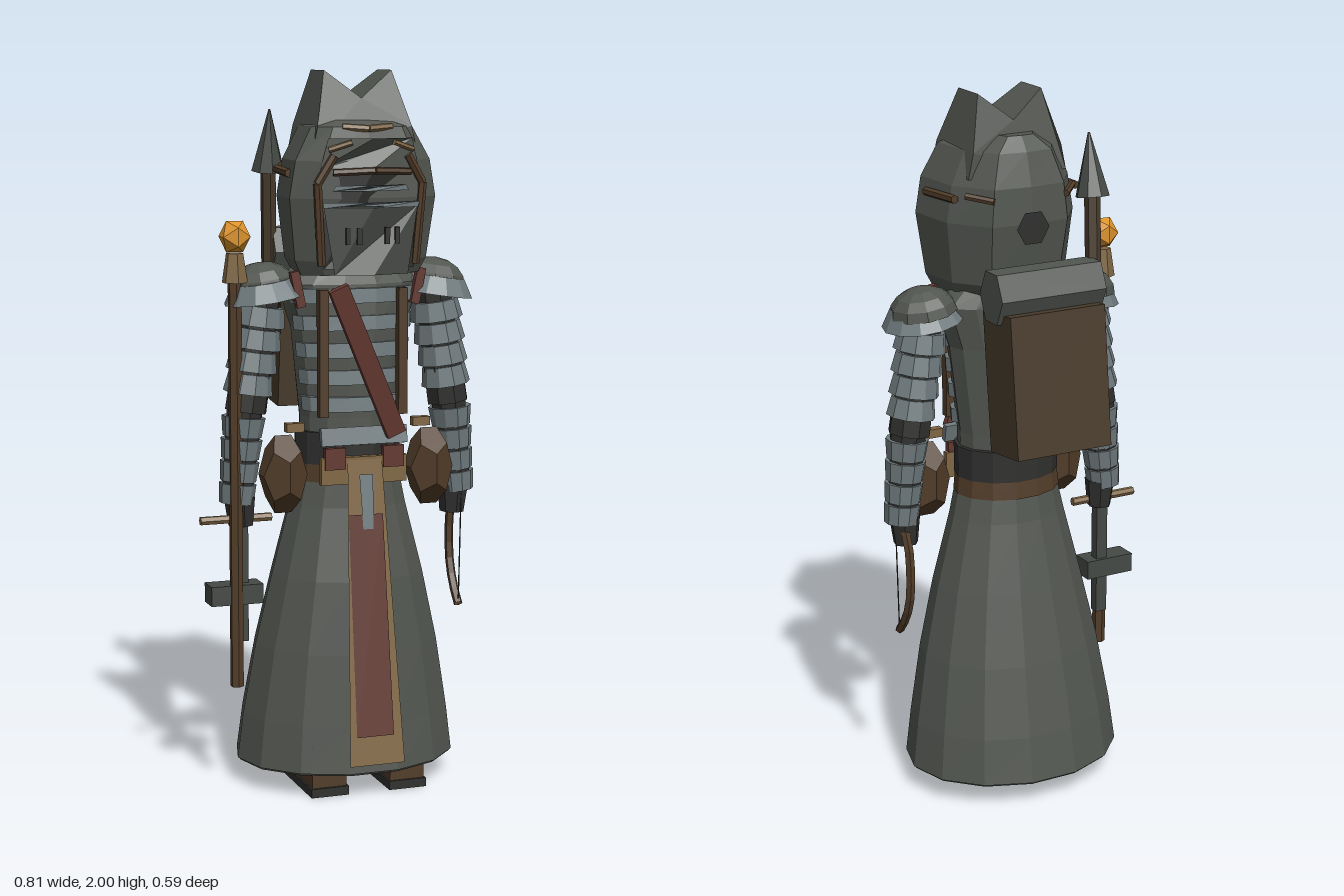
import * as THREE from 'three';

const mat = (name, color) => new THREE.MeshStandardMaterial({ name, color, flatShading: true, side: THREE.DoubleSide });
const CLOTH = mat('grey cloth', 0x525650), PLATE = mat('steel plate', 0x6f7a7d), DARK = mat('dark leather', 0x30302f),
  BROWN = mat('brown leather', 0x523d29), GOLD = mat('ochre trim', 0x806744), RED = mat('dull red', 0x633830),
  FLAME = mat('amber', 0xdd942c), PACK = mat('pack canvas', 0x493c2c), IRON = mat('iron', 0x454945);

function add(parent, name, geo, material, x = 0, y = 0, z = 0) {
  const m = new THREE.Mesh(geo, material);
  m.name = name;
  m.position.set(x, y, z);
  parent.add(m);
  return m;
}
const box = (p, name, m, x, y, z, w, h, d) => add(p, name, new THREE.BoxGeometry(w, h, d), m, x, y, z);

// Tapered rod from a to b
function rod(p, name, m, a, b, r0, r1 = r0, sides = 6) {
  const A = new THREE.Vector3(...a), B = new THREE.Vector3(...b), d = B.clone().sub(A);
  const o = add(p, name, new THREE.CylinderGeometry(r1, r0, d.length(), sides), m);
  o.position.copy(A).add(B).multiplyScalar(0.5);
  o.quaternion.setFromUnitVectors(new THREE.Vector3(0, 1, 0), d.normalize());
  return o;
}

// Closed skin through rings of [y, halfWidth, zFront, zBack], each shaped by a unit outline
function loft(outline, rings) {
  const n = outline.length, pos = [], idx = [];
  for (const [y, w, zf, zb] of rings) for (const [u, v] of outline) pos.push(u * w, y, zb + v * (zf - zb));
  for (let r = 0; r < rings.length - 1; r++) for (let i = 0; i < n; i++) {
    const a = r * n + i, b = r * n + (i + 1) % n;
    idx.push(a, b, b + n, a, b + n, a + n);
  }
  const top = (rings.length - 1) * n;
  for (let i = 1; i < n - 1; i++) idx.push(0, i + 1, i, top, top + i, top + i + 1);
  const g = new THREE.BufferGeometry();
  g.setAttribute('position', new THREE.Float32BufferAttribute(pos, 3));
  g.setIndex(idx);
  g.computeVertexNormals();
  return g;
}
const ROUND = Array.from({ length: 14 }, (_, i) => {
  const t = Math.PI / 2 - (i + 0.5) / 14 * Math.PI * 2;
  return [Math.cos(t), 0.5 + Math.sin(t) / 2];
});
const HOOD = [[0, 1], [0.68, 0.98], [1, 0.82], [0.93, 0.35], [0.55, 0.03], [0, 0], [-0.55, 0.03], [-0.93, 0.35], [-1, 0.82], [-0.68, 0.98]];

// Flat plate from xy points, with depth given by a rule z(x, y)
function plate(points, rule) {
  const g = new THREE.ShapeGeometry(new THREE.Shape(points.map(p => new THREE.Vector2(...p))));
  const p = g.attributes.position;
  for (let i = 0; i < p.count; i++) p.setZ(i, rule(p.getX(i), p.getY(i)));
  g.computeVertexNormals();
  return g;
}

function robe(g) {
  add(g, 'skirt', loft(ROUND, [[0.07, 0.318, 0.278, -0.25], [0.2, 0.302, 0.262, -0.227], [0.4, 0.268, 0.24, -0.185],
    [0.6, 0.222, 0.214, -0.14], [0.8, 0.17, 0.172, -0.095], [0.93, 0.14, 0.16, -0.075]]), CLOTH);
  add(g, 'skirtUnderside', loft(ROUND, [[0.064, 0.312, 0.272, -0.244], [0.069, 0.312, 0.272, -0.244]]), DARK);
  add(g, 'torso', loft(ROUND, [[0.9, 0.14, 0.155, -0.07], [1.05, 0.142, 0.155, -0.065], [1.3, 0.17, 0.165, -0.06],
    [1.42, 0.21, 0.155, -0.055], [1.47, 0.16, 0.14, -0.05]]), CLOTH);
  add(g, 'belt', loft(ROUND, [[0.92, 0.152, 0.168, -0.085], [1.01, 0.152, 0.168, -0.085]]), DARK);
  add(g, 'beltFringe', loft(ROUND, [[0.87, 0.156, 0.166, -0.088], [0.925, 0.149, 0.166, -0.083]]), BROWN);
  box(g, 'sash', GOLD, 0, 0.91, 0.175, 0.25, 0.075, 0.02);
  for (const s of [-1, 1]) box(g, 'sashPatch', RED, s * 0.085, 0.945, 0.18, 0.06, 0.06, 0.02);
  box(g, 'buckle', PLATE, 0, 1.005, 0.178, 0.25, 0.05, 0.018).rotation.x = -0.2;
  // Hanging tabard
  const hang = (x, y) => 0.188 + (0.94 - y) * 0.133;
  add(g, 'tabardBorder', plate([[-0.08, 0.1], [0.08, 0.1], [0.05, 0.94], [-0.05, 0.94]], hang), GOLD);
  add(g, 'tabardPanel', plate([[-0.058, 0.18], [0.05, 0.18], [0.045, 0.79], [-0.055, 0.79]], (x, y) => hang(x, y) + 0.004), RED);
  add(g, 'tabardTongue', plate([[-0.015, 0.75], [0.015, 0.75], [0.02, 0.9], [-0.02, 0.9]], (x, y) => hang(x, y) + 0.007), PLATE);
  // Chest bands and straps
  for (let i = 0; i < 5; i++) {
    const y = 1.07 + i * 0.075, w = 0.148 + i * 0.008;
    add(g, 'chestBand', loft(ROUND, [[y, w, 0.172, 0.0], [y + 0.04, w + 0.003, 0.168, 0.0]]), PLATE);
  }
  for (const s of [-1, 1]) {
    box(g, 'harnessStrap', BROWN, s * 0.115, 1.235, 0.168, 0.026, 0.35, 0.026);
    box(g, 'collarTab', RED, s * 0.175, 1.41, 0.13, 0.025, 0.1, 0.02).rotation.z = s * -0.2;
    const pouch = add(g, 'beltPouch', new THREE.DodecahedronGeometry(0.075), BROWN, s * 0.215, 0.9, 0.12);
    pouch.scale.set(0.9, 1.55, 0.95);
    box(g, 'pouchClasp', GOLD, s * 0.185, 1.03, 0.13, 0.05, 0.025, 0.025);
    // Boots
    box(g, 'boot', BROWN, s * 0.115, 0.085, 0.105, 0.1, 0.12, 0.24);
    box(g, 'bootSole', DARK, s * 0.115, 0.0125, 0.107, 0.11, 0.025, 0.25);
  }
  const sash = box(g, 'crossStrap', RED, -0.005, 1.215, 0.222, 0.055, 0.455, 0.022);
  sash.rotation.set(0.11, 0, 0.42);
}

function head(g) {
  add(g, 'hood', loft(HOOD, [[1.45, 0.17, 0.19, -0.05], [1.49, 0.19, 0.205, -0.08], [1.66, 0.21, 0.232, -0.11],
    [1.76, 0.193, 0.23, -0.105], [1.85, 0.145, 0.21, -0.08], [1.89, 0.07, 0.12, -0.05]]), CLOTH);
  // Two-pointed crown, narrowing in depth toward the points
  const shape = new THREE.Shape([[-0.15, 1.78], [0.15, 1.78], [0.135, 1.85], [0.097, 2.0], [0, 1.925], [-0.097, 2.0], [-0.135, 1.85]]
    .map(p => new THREE.Vector2(...p)));
  const crown = new THREE.ExtrudeGeometry(shape, { depth: 1, bevelEnabled: false });
  const p = crown.attributes.position;
  for (let i = 0; i < p.count; i++) {
    const t = Math.max(0, (p.getY(i) - 1.85) / 0.15), front = 0.185 - 0.06 * t, back = -0.03 + 0.045 * t;
    p.setZ(i, back + p.getZ(i) * (front - back));
  }
  crown.computeVertexNormals();
  add(g, 'crown', crown, CLOTH);
  // Face opening, visor and slits share a shallow central ridge
  const ridge = (k) => (x) => k - Math.abs(x) * 0.22;
  const strip = (name, m, w0, w1, y0, y1, z) =>
    add(g, name, plate([[-w0, y0], [0, y0], [w0, y0], [w1, y1], [0, y1], [-w1, y1]], ridge(z)), m);
  strip('faceShadow', DARK, 0.13, 0.135, 1.47, 1.73, 0.246);
  strip('visor', IRON, 0.105, 0.135, 1.455, 1.64, 0.262);
  strip('visorRim', PLATE, 0.135, 0.138, 1.635, 1.65, 0.266);
  strip('eyeBand', PLATE, 0.11, 0.1, 1.68, 1.695, 0.256);
  strip('browPlate', CLOTH, 0.14, 0.12, 1.74, 1.82, 0.254);
  for (const s of [-1, 1]) {
    for (const x of [0.04, 0.07]) box(g, 'visorSlit', DARK, s * x, 1.56, 0.262 - x * 0.22, 0.013, 0.045, 0.008);
    rod(g, 'faceTrim', BROWN, [s * 0.135, 1.48, 0.215], [s * 0.15, 1.7, 0.228], 0.012);
    rod(g, 'faceTrim', BROWN, [s * 0.15, 1.7, 0.228], [s * 0.105, 1.775, 0.235], 0.012);
    rod(g, 'browTrim', BROWN, [s * 0.11, 1.73, 0.24], [0, 1.735, 0.266], 0.01);
    rod(g, 'browTrim', GOLD, [s * 0.12, 1.79, 0.232], [s * 0.06, 1.81, 0.25], 0.008);
    rod(g, 'hoodTrim', GOLD, [s * 0.07, 1.85, 0.2], [0, 1.845, 0.215], 0.01);
    rod(g, 'sideTrim', BROWN, [s * 0.198, 1.725, 0.13], [s * 0.187, 1.73, -0.02], 0.012);
    rod(g, 'rearTrim', BROWN, [s * 0.165, 1.74, -0.04], [s * 0.11, 1.73, -0.1], 0.01);
  }
  add(g, 'hoodPatch', new THREE.CircleGeometry(0.05, 6), DARK, 0, 1.65, -0.116);
}

function arm(g, s) {
  const a = new THREE.Group();
  a.name = s > 0 ? 'leftArm' : 'rightArm';
  a.scale.x = s; // mirrored across the body
  g.add(a);
  const dome = add(a, 'pauldronDome', new THREE.SphereGeometry(0.095, 10, 4, 0, Math.PI * 2, 0, Math.PI / 2), CLOTH, 0.25, 1.41, 0.05);
  dome.scale.y = 0.75;
  dome.rotation.z = -0.15;
  add(a, 'pauldronRim', new THREE.CylinderGeometry(0.085, 0.115, 0.05, 12), PLATE, 0.25, 1.405, 0.06).rotation.z = -0.15;
  rod(a, 'upperSleeve', DARK, [0.25, 1.4, 0.05], [0.3, 1.07, 0.05], 0.054, 0.06, 8);
  rod(a, 'lowerSleeve', DARK, [0.3, 1.1, 0.05], [0.325, 0.84, 0.05], 0.053, 0.045, 8);
  for (let i = 0; i < 4; i++) {
    const x = 0.256 + i * 0.01, y = 1.36 - i * 0.062;
    rod(a, 'upperArmBand', PLATE, [x, y, 0.05], [x + 0.008, y - 0.054, 0.05], 0.066 - i * 0.002, 0.075 - i * 0.002, 10);
  }
  for (let i = 0; i < 4; i++) {
    const x = 0.306 + i * 0.006, y = 1.055 - i * 0.062;
    rod(a, 'forearmBand', PLATE, [x, y, 0.05], [x + 0.005, y - 0.055, 0.05], 0.061 - i * 0.003, 0.054 - i * 0.002, 10);
  }
  rod(a, 'hand', DARK, [0.318, 0.83, 0.05], [0.315, 0.75, 0.05], 0.045, 0.035, 7);
}

function gear(g) {
  // Backpack, bedroll and spear
  box(g, 'backpack', PACK, 0, 1.25, -0.196, 0.29, 0.39, 0.155).rotation.x = 0.11;
  const roll = add(g, 'bedroll', new THREE.CylinderGeometry(0.075, 0.075, 0.32, 6), CLOTH, 0, 1.49, -0.172);
  roll.rotation.z = Math.PI / 2;
  roll.scale.x = 1.05;
  roll.scale.z = 0.85;
  rod(g, 'spearShaft', PACK, [-0.155, 1.2, -0.185], [-0.177, 1.75, -0.125], 0.022);
  rod(g, 'spearHead', IRON, [-0.177, 1.72, -0.128], [-0.18, 1.89, -0.1], 0.048, 0.003, 8);
  // Lantern staff
  rod(g, 'staff', BROWN, [-0.34, 0.3, 0.085], [-0.34, 1.45, 0.085], 0.019);
  rod(g, 'staffCup', GOLD, [-0.34, 1.43, 0.088], [-0.34, 1.51, 0.088], 0.036, 0.024);
  add(g, 'staffGem', new THREE.IcosahedronGeometry(0.045), FLAME, -0.34, 1.555, 0.088).scale.y = 1.1;
  // Hammer held head-down
  rod(g, 'hammerGuard', GOLD, [-0.435, 0.77, 0.058], [-0.23, 0.77, 0.058], 0.012);
  box(g, 'hammerShaft', IRON, -0.315, 0.6, 0.045, 0.035, 0.36, 0.03);
  box(g, 'hammerHead', IRON, -0.338, 0.56, 0.055, 0.15, 0.055, 0.07);
  // Short bow
  const path = new THREE.CatmullRomCurve3([[0.82, 0.05], [0.77, 0.01], [0.7, -0.005], [0.6, 0.0], [0.53, 0.03], [0.48, 0.07]]
    .map(([y, z]) => new THREE.Vector3(0.33, y, z)));
  add(g, 'bow', new THREE.TubeGeometry(path, 8, 0.013, 5), BROWN);
  rod(g, 'bowString', DARK, [0.33, 0.485, 0.07], [0.33, 0.83, 0.085], 0.002, 0.002, 4);
}

export function createModel() {
  const root = new THREE.Group();
  root.name = 'armouredTraveller';
  const g = new THREE.Group();
  g.name = 'figure';
  g.position.x = 0.025;
  root.add(g);
  robe(g);
  head(g);
  arm(g, 1);
  arm(g, -1);
  gear(g);
  return root;
}
